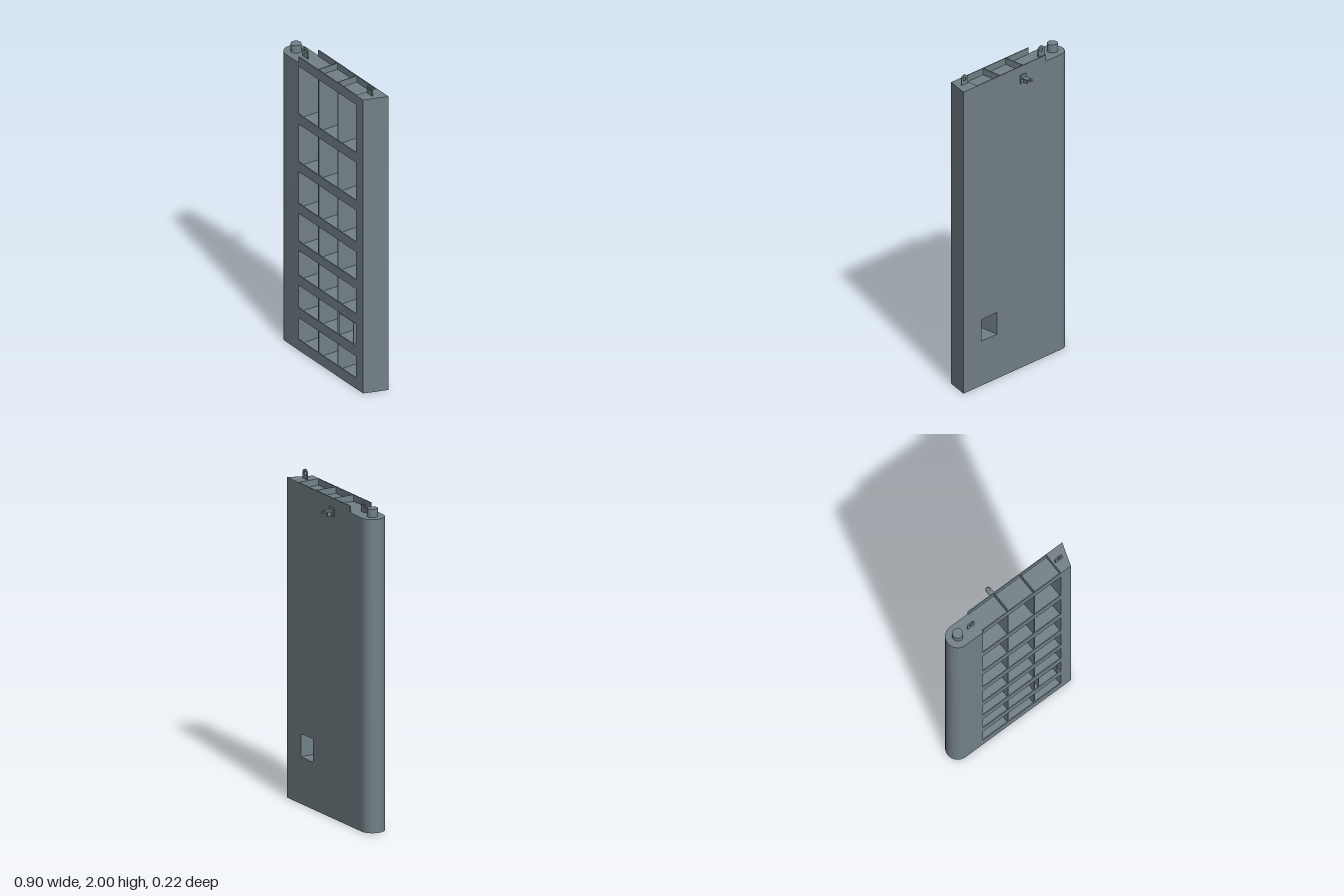
import * as THREE from 'three';
import { toCreasedNormals } from 'three/addons/utils/BufferGeometryUtils.js';

const steel = new THREE.MeshStandardMaterial({ color: 0x728187 });
steel.name = 'grey steel';

const BACK = -0.038, FRONT = 0.108, MID = 0.035, SKIN = 0.006, R = 0.073;
const L = -0.248, RT = 0.328, TOP = 1.94, DECK = 1.9;

export function createModel() {
  const gate = new THREE.Group();
  gate.name = 'lockGate';

  const add = (name, geo, x = 0, y = 0, z = 0) => {
    const m = new THREE.Mesh(geo, steel);
    m.name = name;
    m.position.set(x, y, z);
    gate.add(m);
    return m;
  };
  // box given by its limits
  const box = (name, x0, x1, y0, y1, z0, z1) =>
    add(name, new THREE.BoxGeometry(x1 - x0, y1 - y0, z1 - z0), (x0 + x1) / 2, (y0 + y1) / 2, (z0 + z1) / 2);
  const rect = (x0, x1, y0, y1, Kind = THREE.Shape) => {
    const s = new Kind();
    s.moveTo(x0, y0); s.lineTo(x1, y0); s.lineTo(x1, y1); s.lineTo(x0, y1);
    s.closePath();
    return s;
  };
  const extrude = (shape, depth) => toCreasedNormals(
    new THREE.ExtrudeGeometry(shape, { depth, bevelEnabled: false, curveSegments: 20 }), 0.6);
  // plan outline (x, -z) raised upwards
  const raise = (shape, height) => extrude(shape, height).rotateX(-Math.PI / 2);

  // rounded heel post, with a pivot socket in its foot
  const heel = () => {
    const s = new THREE.Shape();
    s.moveTo(L, -FRONT);
    s.lineTo(L, -BACK);
    s.lineTo(-0.377, -BACK);
    s.absarc(-0.377, -MID, R, Math.PI / 2, Math.PI * 1.5, false);
    s.closePath();
    return s;
  };
  const foot = heel();
  foot.holes.push(new THREE.Path().absarc(-0.377, -MID, 0.025, 0, Math.PI * 2, true));
  add('heelPostFoot', raise(foot, 0.03));
  add('heelPost', raise(heel(), DECK - 0.03), 0, 0.03, 0);
  add('pivotPin', new THREE.CylinderGeometry(0.032, 0.032, 0.05, 32), -0.377, DECK + 0.025, MID);

  // mitre post with its slanted meeting face
  const mitre = new THREE.Shape();
  mitre.moveTo(RT, -FRONT);
  mitre.lineTo(0.4, -FRONT);
  mitre.lineTo(0.45, -BACK);
  mitre.lineTo(RT, -BACK);
  mitre.closePath();
  add('mitrePost', raise(mitre, TOP));

  // front skin with window rows
  const rows = [[0.07, 0.215], [0.28, 0.43], [0.495, 0.66], [0.72, 0.905], [0.97, 1.18], [1.245, 1.495], [1.56, 1.878]];
  const front = rect(L, RT, 0, TOP);
  // windows stop a hair inside the posts so the skin stays in one piece
  for (const [a, b] of rows) front.holes.push(rect(L + 0.0005, RT - 0.0005, a, b, THREE.Path));
  add('frontSkin', extrude(front, SKIN), 0, 0, FRONT - SKIN);

  // back skin with the sluice opening
  const sx0 = 0.165, sx1 = 0.298, sy0 = 0.285, sy1 = 0.425;
  const back = rect(L, RT, 0, TOP);
  back.holes.push(rect(sx0, sx1, sy0, sy1, THREE.Path));
  add('backSkin', extrude(back, SKIN), 0, 0, BACK);

  // sluice duct running through the gate
  const duct = rect(sx0 - 0.004, sx1 + 0.004, sy0 - 0.004, sy1 + 0.004);
  duct.holes.push(rect(sx0, sx1, sy0, sy1, THREE.Path));
  add('sluiceDuct', extrude(duct, FRONT - BACK - SKIN), 0, 0, BACK + SKIN);

  // girders behind the middle of each band
  const levels = [0.035];
  for (let i = 1; i < rows.length; i++) levels.push((rows[i - 1][1] + rows[i][0]) / 2);
  levels.push(DECK - 0.003);
  for (const y of levels) box('girder', L, RT, y - 0.003, y + 0.003, BACK + SKIN, FRONT - SKIN);

  // upright ribs
  for (const x of [-0.056, 0.136]) box('rib', x - 0.003, x + 0.003, 0, TOP, BACK + SKIN, FRONT - SKIN);

  // lifting eyes
  const eye = (w, h, hole, t) => {
    const r = w / 2, s = new THREE.Shape();
    s.moveTo(-r, 0);
    s.lineTo(r, 0);
    s.lineTo(r, h - r);
    s.absarc(0, h - r, r, 0, Math.PI, false);
    s.closePath();
    s.holes.push(new THREE.Path().absarc(0, h - r, hole, 0, Math.PI * 2, true));
    return extrude(s, t).translate(0, 0, -t / 2);
  };
  add('liftingEye', eye(0.052, 0.064, 0.011, 0.007), -0.281, DECK, MID);
  add('liftingEye', eye(0.052, 0.06, 0.011, 0.007), 0.366, TOP, MID);

  // strut bracket on the back
  const bx = -0.052;
  box('bracketPlate', bx - 0.025, bx + 0.025, 1.832, 1.884, BACK - 0.007, BACK);
  add('bracketEye', eye(0.033, 0.066, 0.008, 0.008).rotateX(-Math.PI / 2), bx, 1.863, BACK - 0.006);
  box('bracketGusset', bx - 0.004, bx + 0.004, 1.834, 1.86, BACK - 0.036, BACK - 0.006);

  return gate;
}
